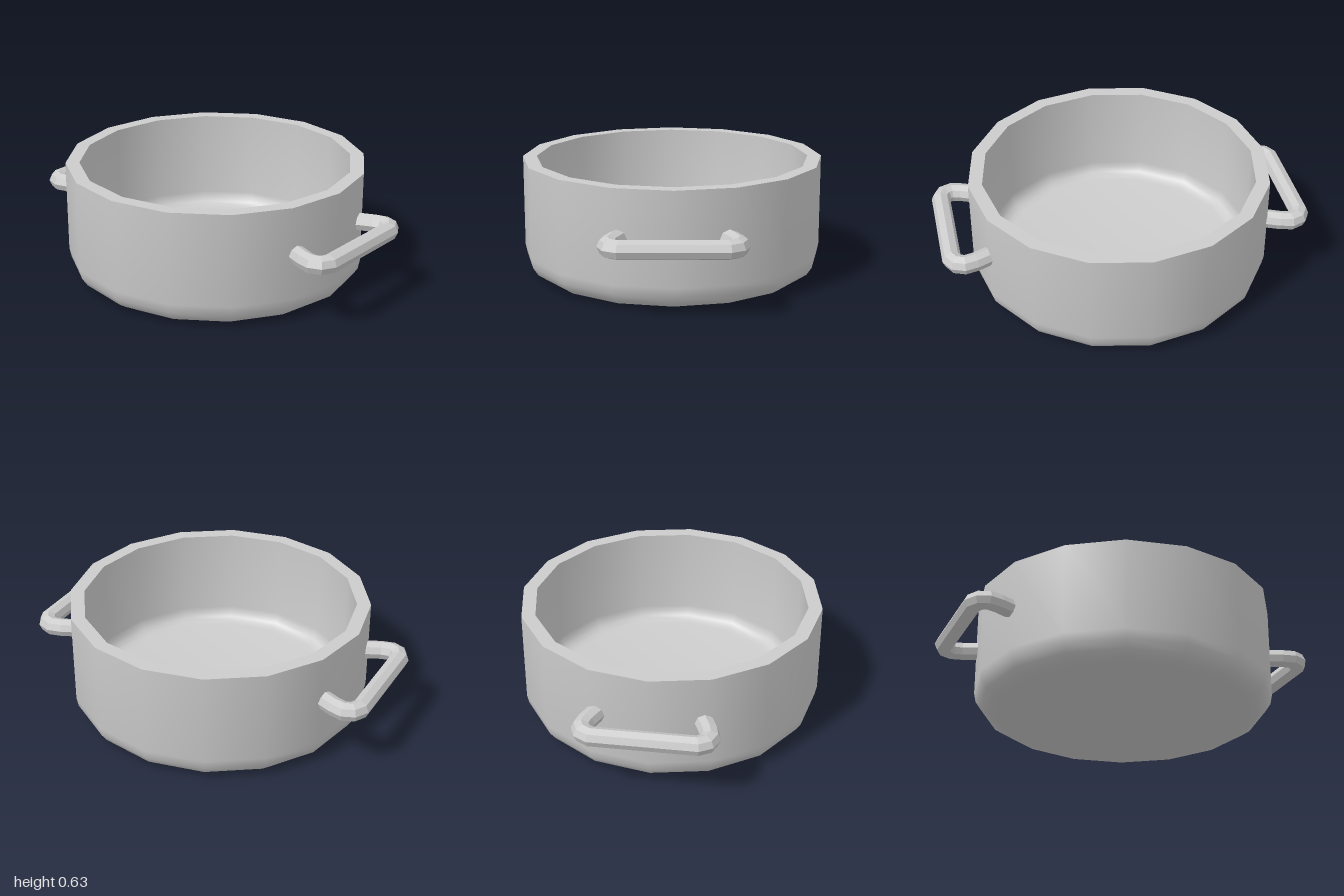
import * as THREE from 'three';
import { toCreasedNormals } from 'three/addons/utils/BufferGeometryUtils.js';

const material = new THREE.MeshStandardMaterial({ color: 0xcccccc });
const handleMaterial = new THREE.MeshStandardMaterial({ color: 0xcccccc, flatShading: true });

// Quarter-round between floor and wall, as [radius, height] points
function roundedCorner(wallRadius, floorY, r, steps = 4) {
  return Array.from({ length: steps + 1 }, (_, i) => {
    const a = (i / steps) * Math.PI / 2;
    return new THREE.Vector2(wallRadius - r + r * Math.sin(a), floorY + r - r * Math.cos(a));
  });
}

// Sixteen-sided hollow pot with a flat rim
function createPot() {
  const height = 0.63;
  const profile = [
    new THREE.Vector2(0, 0),
    ...roundedCorner(0.815, 0, 0.13),
    new THREE.Vector2(0.815, height),
    new THREE.Vector2(0.74, height),
    ...roundedCorner(0.74, 0.07, 0.08).reverse(),
    new THREE.Vector2(0, 0.07),
  ];
  const geometry = toCreasedNormals(new THREE.LatheGeometry(profile, 16), 0.65);
  const pot = new THREE.Mesh(geometry, material);
  pot.name = 'pot';
  return pot;
}

// Octagonal bar swept along a flat path of [x, z] points with mitred joints
function sweepBar(path, y, radius, sides = 8) {
  const pts = path.map(([x, z]) => new THREE.Vector2(x, z));
  const positions = [];
  const index = [];
  pts.forEach((p, i) => {
    const before = p.clone().sub(pts[Math.max(i - 1, 0)]).normalize();
    const after = pts[Math.min(i + 1, pts.length - 1)].clone().sub(p).normalize();
    const tangent = before.clone().add(after).normalize();
    const miter = 1 / Math.max(tangent.dot(after), tangent.dot(before));
    for (let j = 0; j < sides; j++) {
      const a = (j / sides) * Math.PI * 2;
      const side = Math.cos(a) * radius * miter;
      positions.push(p.x + tangent.y * side, y + Math.sin(a) * radius, p.y - tangent.x * side);
      if (i < pts.length - 1) {
        const k = i * sides + j;
        const n = i * sides + (j + 1) % sides;
        index.push(k, n, k + sides, n, n + sides, k + sides);
      }
    }
  });
  const geometry = new THREE.BufferGeometry();
  geometry.setAttribute('position', new THREE.Float32BufferAttribute(positions, 3));
  geometry.setIndex(index);
  geometry.computeVertexNormals();
  return geometry;
}

export function createModel() {
  const group = new THREE.Group();
  group.name = 'cookingPot';
  group.add(createPot());

  // Side handles: a straight grip with rounded corners running into the wall
  const half = [[0.72, 0.262], [0.83, 0.31], [0.885, 0.323], [0.926, 0.307], [0.95, 0.265]];
  const path = [...half, ...half.map(([x, z]) => [x, -z]).reverse()];
  const geometry = sweepBar(path, 0.37, 0.05);
  for (const [name, turn] of [['leftHandle', 0], ['rightHandle', Math.PI]]) {
    const handle = new THREE.Mesh(geometry, handleMaterial);
    handle.name = name;
    handle.rotation.y = turn;
    group.add(handle);
  }
  return group;
}
